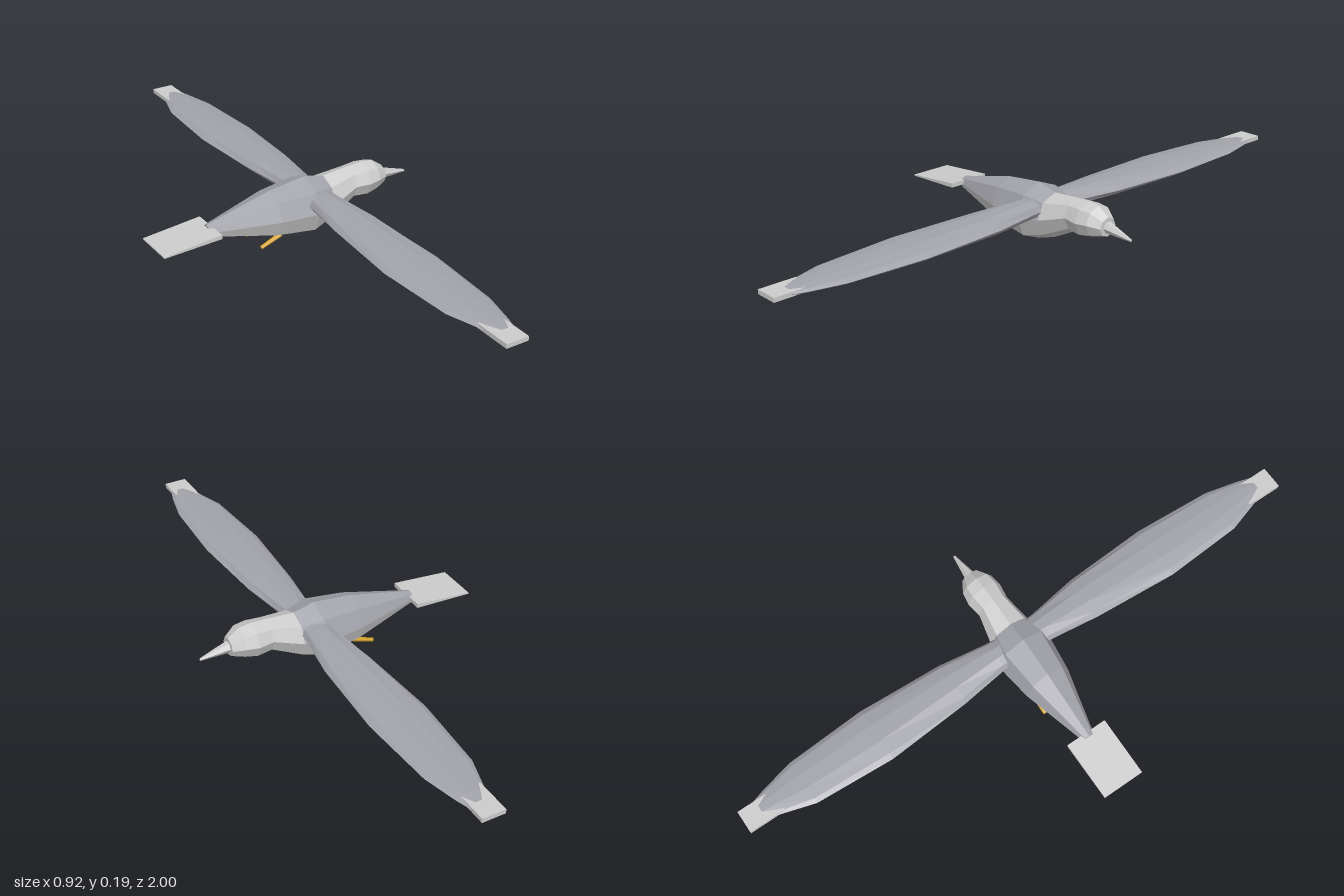
import * as THREE from 'three';

const paint = (color) => new THREE.MeshStandardMaterial({ color, flatShading: true });
const grey = paint(0xcccccc);
const slate = paint(0xa2a2aa);
const gold = paint(0xd9a62e);

// Skin over elliptical sections [x, centreY, radiusY, radiusZ, centreZ], between two angles, with end caps
function loft(sections, sides, from = 0, to = Math.PI * 2, capStart = true, capEnd = true) {
  const rings = sections.map(([x, cy, ry, rz, cz = 0]) =>
    Array.from({ length: sides + 1 }, (_, j) => {
      const a = from + ((to - from) * j) / sides;
      return [x, cy + ry * Math.sin(a), cz + rz * Math.cos(a)];
    }));
  const centre = ([x, cy, , , cz = 0]) => [x, cy, cz];
  const last = rings.length - 1;
  const corners = [];
  for (let j = 0; j < sides; j++) {
    for (let i = 0; i < last; i++) {
      const a = rings[i][j], b = rings[i + 1][j], c = rings[i + 1][j + 1], d = rings[i][j + 1];
      corners.push(a, b, d, b, c, d);
    }
    if (capStart) corners.push(centre(sections[0]), rings[0][j], rings[0][j + 1]);
    if (capEnd) corners.push(centre(sections[last]), rings[last][j + 1], rings[last][j]);
  }
  const geometry = new THREE.BufferGeometry();
  geometry.setAttribute('position', new THREE.Float32BufferAttribute(corners.flat(), 3));
  geometry.computeVertexNormals();
  return geometry;
}

function add(parent, name, geometry, material) {
  const mesh = new THREE.Mesh(geometry, material);
  mesh.name = name;
  parent.add(mesh);
  return mesh;
}

export function createModel() {
  const bird = new THREE.Group();
  bird.name = 'bird';

  // Body: slate back over a pale belly
  const trunk = [
    [-0.28, 0.097, 0.02, 0.02],
    [-0.06, 0.097, 0.076, 0.078],
    [0.07, 0.097, 0.093, 0.095],
    [0.14, 0.101, 0.073, 0.073],
  ];
  add(bird, 'back', loft(trunk, 4, 0, Math.PI, true, false), slate);
  add(bird, 'belly', loft(trunk, 4, Math.PI, Math.PI * 2, true, false), grey);

  // Neck and head
  add(bird, 'head', loft([
    trunk[3],
    [0.235, 0.13, 0.053, 0.053],
    [0.285, 0.13, 0.056, 0.06],
    [0.325, 0.133, 0.049, 0.054],
    [0.363, 0.126, 0.03, 0.032],
  ], 8, 0, Math.PI * 2, false, true), grey);

  // Beak
  add(bird, 'beak', loft([
    [0.355, 0.127, 0.02, 0.02],
    [0.457, 0.111, 0.004, 0.004],
  ], 6), grey);

  // Tail: flat plate, thinner and lower at the rear
  const tail = new THREE.BoxGeometry(0.195, 1, 0.14);
  const p = tail.attributes.position;
  for (let i = 0; i < p.count; i++) {
    const front = p.getX(i) > 0;
    p.setY(i, (front ? 0.104 : 0.089) + p.getY(i) * (front ? 0.014 : 0.004));
  }
  tail.translate(-0.3625, 0, 0);
  tail.computeVertexNormals();
  add(bird, 'tail', tail, grey);

  // Wing stations: span, centre height, half thickness, half chord, chord centre
  const stations = [
    [0.02, 0.126, 0.029, 0.048, 0.092],
    [0.09, 0.126, 0.029, 0.052, 0.093],
    [0.25, 0.125, 0.026, 0.075, 0.095],
    [0.53, 0.124, 0.021, 0.0925, 0.0925],
    [0.79, 0.123, 0.014, 0.077, 0.093],
    [0.9, 0.123, 0.01, 0.047, 0.097],
    [0.96, 0.123, 0.006, 0.028, 0.097],
  ];

  for (const side of [1, -1]) {
    const label = side > 0 ? 'right' : 'left';

    // Wing, turned to reach out along z
    const wing = loft(stations.map(([s, y, ry, rz, cx]) => [s, y, ry, rz, -side * cx]), 10);
    wing.rotateY((-side * Math.PI) / 2);
    add(bird, label + 'Wing', wing, slate);

    // Flat feather at the wing tip
    const tip = new THREE.BoxGeometry(0.075, 0.014, 0.12);
    tip.translate(0.09, 0.123, side * 0.94);
    add(bird, label + 'WingTip', tip, grey);

    // Leg trailing backward
    const leg = new THREE.CylinderGeometry(0.008, 0.006, 0.075, 6);
    leg.rotateZ(-1.2);
    leg.translate(-0.081, 0.0255, side * 0.047);
    add(bird, label + 'Leg', leg, gold);
  }
  return bird;
}
